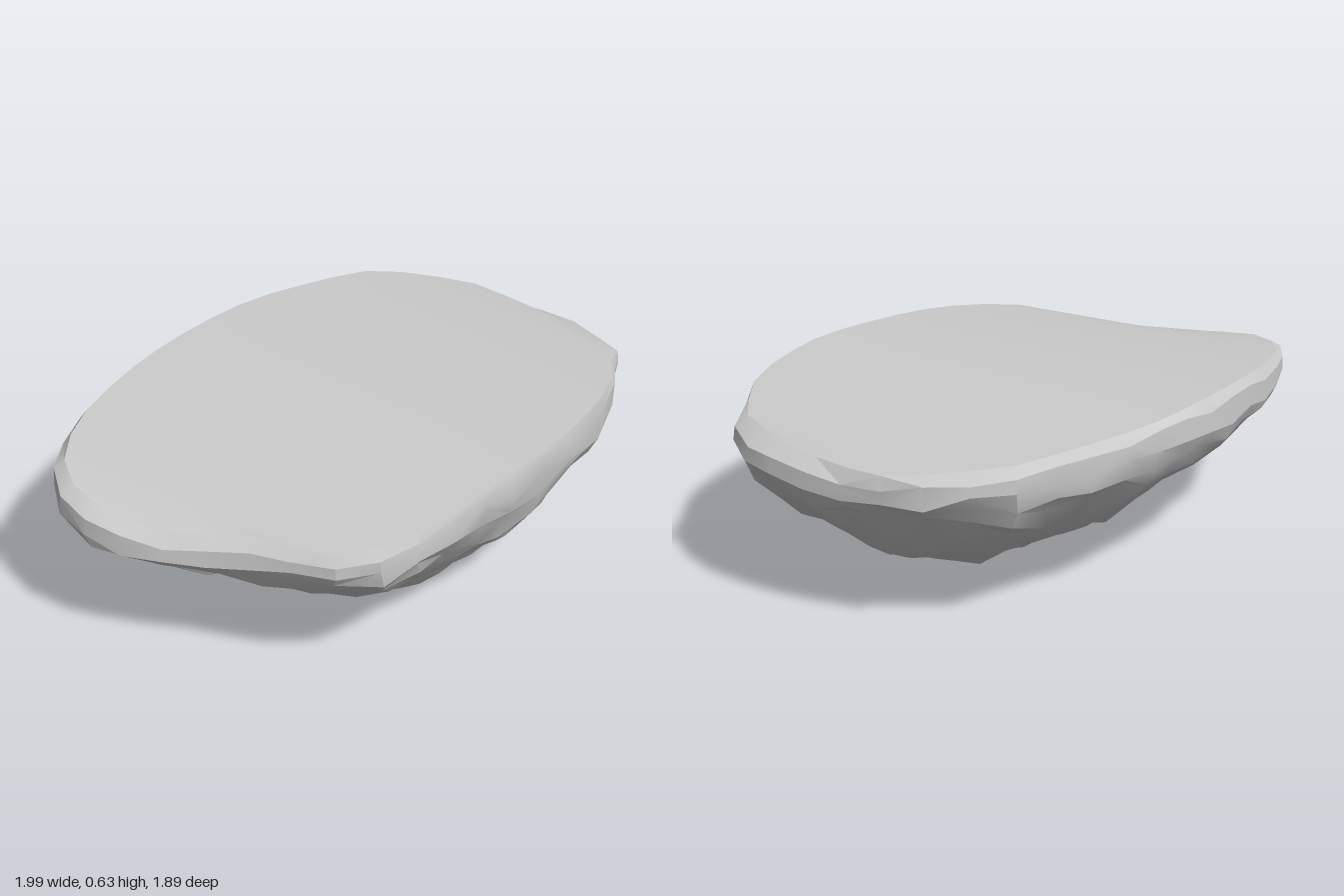
import * as THREE from 'three';
import { toCreasedNormals } from 'three/addons/utils/BufferGeometryUtils.js';

// Plan outline, anticlockwise from above: x, z, rim height, rim inset
const OUTLINE = [
  [1, -0.37, 0.59, 0.06], [0.97, -0.48, 0.575, 0.1], [0.83, -0.67, 0.565, 0.09], [0.52, -0.88, 0.565, 0.02],
  [0.38, -0.94, 0.58, 0.05], [0.08, -0.94, 0.605, 0.04], [-0.1, -0.84, 0.615, 0.03], [-0.4, -0.64, 0.625, 0.03],
  [-0.72, -0.27, 0.625, 0.03], [-0.9, 0.03, 0.605, 0.03], [-0.97, 0.2, 0.59, 0.03], [-1, 0.42, 0.57, 0.05],
  [-0.94, 0.59, 0.55, 0.07], [-0.8, 0.71, 0.525, 0.09], [-0.53, 0.81, 0.52, 0.07], [-0.32, 0.86, 0.54, 0.08],
  [-0.1, 0.94, 0.56, 0.03], [0.06, 0.94, 0.57, 0.03], [0.3, 0.79, 0.6, 0.01], [0.59, 0.5, 0.63, 0.01],
  [0.75, 0.32, 0.635, 0.01], [0.86, 0.13, 0.63, 0.01], [0.94, -0.05, 0.62, 0.01], [0.97, -0.24, 0.6, 0.02],
];

// Underside levels: height, outline scale, centre x, centre z
const LEVELS = [
  [0.5, 0.995, 0, 0], [0.45, 0.97, 0, 0], [0.39, 0.92, 0.01, 0], [0.32, 0.84, 0.03, 0],
  [0.25, 0.755, 0.05, 0], [0.185, 0.66, 0.08, 0], [0.13, 0.565, 0.12, 0], [0.085, 0.46, 0.15, -0.01],
  [0.06, 0.34, 0.14, -0.03], [0.045, 0.2, 0.13, -0.06],
];
const SEGMENTS = 40;
const TIP = 3; // rim sample at the back end of the long axis
const COLUMNS = 6;

// Seeded value in -1..1
const hash = (a, b, c) => {
  const s = Math.sin(a * 127.1 + b * 311.7 + c * 74.7) * 43758.5453;
  return 2 * (s - Math.floor(s)) - 1;
};

// Lumps of a given size, blended between lattice points
function lump(v, size, seed) {
  const [x, y, z] = [v.x / size, v.y / size, v.z / size];
  const [i, j, k] = [x, y, z].map(Math.floor);
  let sum = 0;
  for (const a of [0, 1]) for (const b of [0, 1]) for (const c of [0, 1]) {
    const weight = (1 - Math.abs(x - i - a)) * (1 - Math.abs(y - j - b)) * (1 - Math.abs(z - k - c));
    sum += weight * hash(i + a + seed, j + b, k + c);
  }
  return sum;
}

// Evenly spaced samples of the outline
function sampleOutline() {
  const plan = new THREE.CatmullRomCurve3(OUTLINE.map(([x, z, y]) => new THREE.Vector3(x, y, z)), true, 'centripetal');
  return Array.from({ length: SEGMENTS }, (_, i) => {
    const t = plan.getUtoTmapping(i / SEGMENTS) * OUTLINE.length;
    const k = Math.floor(t) % OUTLINE.length;
    const inset = THREE.MathUtils.lerp(OUTLINE[k][3], OUTLINE[(k + 1) % OUTLINE.length][3], t % 1);
    return { p: plan.getPointAt(i / SEGMENTS), inset };
  });
}

// Outline point pulled towards the middle
const pullIn = (p, amount, y) => {
  const s = 1 - amount / Math.hypot(p.x, p.z);
  return new THREE.Vector3(p.x * s, y, p.z * s);
};

function geometryFrom(points, index) {
  const g = new THREE.BufferGeometry().setFromPoints(points);
  g.setIndex(index);
  g.computeVertexNormals();
  return g;
}

// Rings from the rim down, closed on the lowest point
function undersideGeometry(rings, lowest) {
  const n = SEGMENTS, index = [];
  rings.forEach((ring, r) => {
    for (let i = 0; i < n; i++) {
      const a = r * n + i, b = r * n + (i + 1) % n;
      if (r === rings.length - 1) index.push(a, rings.length * n, b);
      else if (hash(i, r, 5) > 0) index.push(a, a + n, b, b, a + n, b + n);
      else index.push(a, b + n, b, a, a + n, b + n);
    }
  });
  return toCreasedNormals(geometryFrom([...rings.flat(), lowest], index), 0.36);
}

// Straight chords from one long side of the rim to the other
function topGeometry(rim) {
  const points = [], index = [], row = COLUMNS + 1, half = SEGMENTS / 2;
  for (let k = 0; k <= half; k++) {
    const a = rim[(TIP + k) % SEGMENTS], b = rim[(TIP - k + SEGMENTS) % SEGMENTS];
    for (let j = 0; j <= COLUMNS; j++) {
      points.push(a.clone().lerp(b, j / COLUMNS));
      const p = k * row + j;
      if (k < half && j < COLUMNS) index.push(p, p + row, p + row + 1, p, p + row + 1, p + 1);
    }
  }
  return geometryFrom(points, index);
}

export function createModel() {
  const group = new THREE.Group();
  group.name = 'rockSlab';
  const material = new THREE.MeshStandardMaterial({ color: 0xcccccc, side: THREE.DoubleSide });
  const samples = sampleOutline();

  // Rim and the rounded shoulder just below it
  const rim = samples.map(({ p, inset }) => pullIn(p, inset, p.y));
  const shoulder = samples.map(({ p, inset }, i) => pullIn(p, inset * 0.2, p.y - 0.035 + 0.014 * hash(i, 3, 0)));

  // Craggy underside rings; lumps push out on the sides and down on the base
  const under = LEVELS.map(([y, scale, cx, cz], r) => samples.map(({ p }, i) => {
    const drop = (p.y - 0.6) * Math.max(0, 0.7 - r * 0.2);
    const slide = 0.05 * scale * Math.min(1, r / 3) * hash(i, r, 3);
    const v = new THREE.Vector3(
      (p.x - p.z * slide) * scale + cx, y + drop, (p.z + p.x * slide) * scale + cz);
    const rough = Math.min(1, r / 2);
    const out = 1 + rough * (0.035 * lump(v, 0.22, 7) + 0.016 * scale * hash(i, r, 1));
    const rise = 0.03 * lump(v, 0.13, 31) + 0.016 * scale * hash(i, r, 2);
    v.x = (v.x - cx) * out + cx;
    v.z = (v.z - cz) * out + cz;
    v.y = Math.max(0.012, v.y + rise);
    return v;
  }));

  const underside = new THREE.Mesh(
    undersideGeometry([rim, shoulder, ...under], new THREE.Vector3(0.2, 0, -0.13)), material);
  underside.name = 'craggyUnderside';

  // Smooth broken face, high along both long sides
  const top = new THREE.Mesh(topGeometry(rim), material);
  top.name = 'smoothTop';

  group.add(underside, top);
  return group;
}
